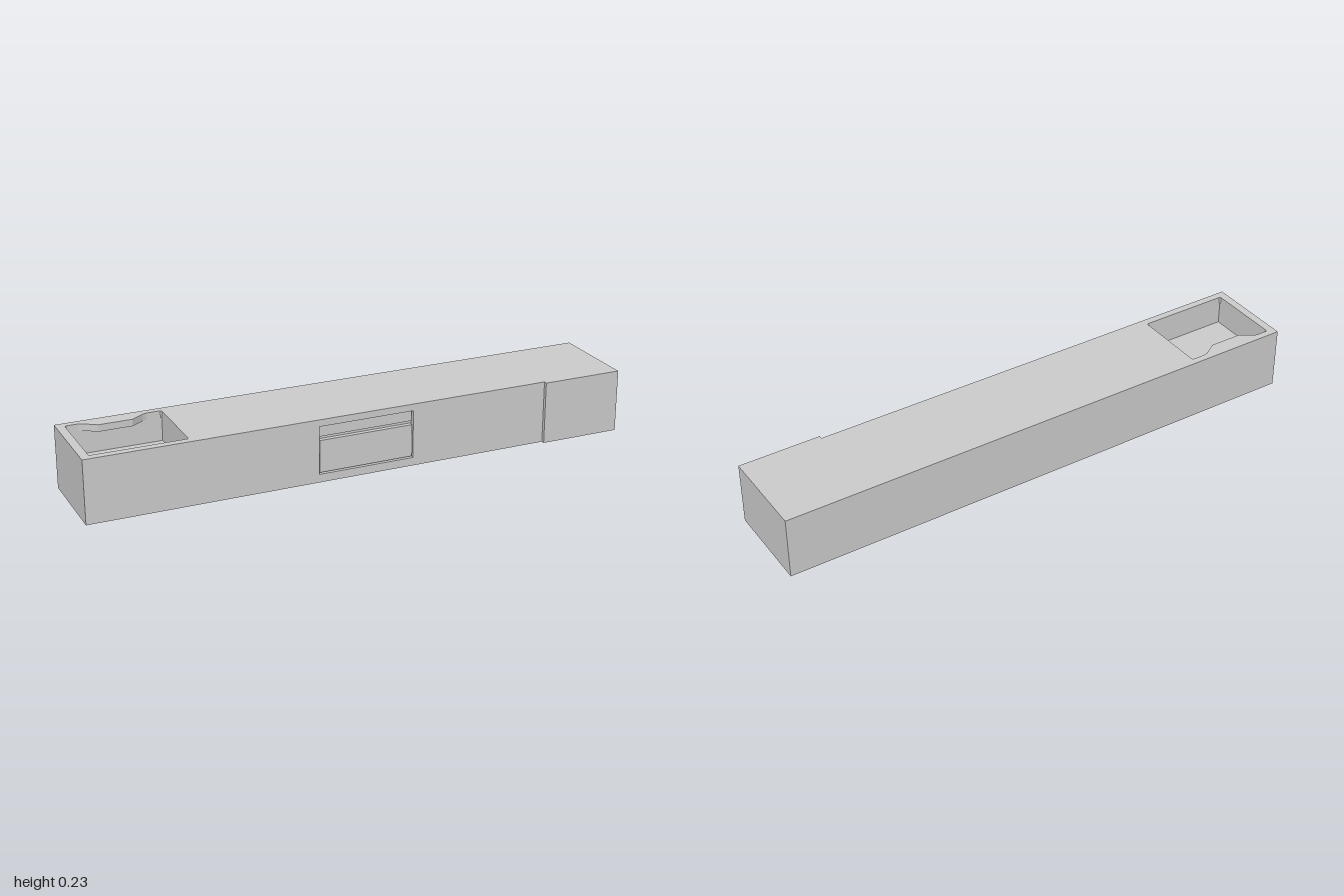
import * as THREE from 'three';

const material = new THREE.MeshStandardMaterial({ color: 0xcccccc, flatShading: true });

const BACK = -0.17, FRONT = 0.157, END_FRONT = 0.17, STEP_X = 0.7;
const RECESS = { x0: -0.175, x1: 0.18, depth: 0.02 };

// Plan coordinates are [x, z]; shapes are drawn with -z upwards.
const toPoints = (plan) => plan.map(([x, z]) => new THREE.Vector2(x, -z));

const basinPlan = [[-0.97, -0.145], [-0.63, -0.145], [-0.63, 0.13], [-0.97, 0.13]];
const rimPlan = [
  [-0.965, -0.145], [-0.925, -0.145], [-0.91, -0.14], [-0.865, -0.11],
  [-0.745, -0.11], [-0.7, -0.14], [-0.685, -0.145], [-0.635, -0.145],
  [-0.63, -0.14], [-0.63, 0.125], [-0.635, 0.13],
  [-0.965, 0.13], [-0.97, 0.125], [-0.97, -0.14],
];

// One horizontal slice of the counter, optionally with a sink hole and a drawer recess
function layer(name, y0, y1, { hole, recess } = {}) {
  const plan = [[-1, BACK], [-1, FRONT]];
  if (recess) {
    const inner = FRONT - RECESS.depth;
    plan.push([RECESS.x0, FRONT], [RECESS.x0, inner], [RECESS.x1, inner], [RECESS.x1, FRONT]);
  }
  plan.push([STEP_X, FRONT], [STEP_X, END_FRONT], [1, END_FRONT], [1, BACK]);
  const shape = new THREE.Shape(toPoints(plan));
  if (hole) shape.holes.push(new THREE.Path(toPoints(hole)));
  const geometry = new THREE.ExtrudeGeometry(shape, { depth: y1 - y0, bevelEnabled: false });
  geometry.rotateX(-Math.PI / 2);
  const mesh = new THREE.Mesh(geometry, material);
  mesh.position.y = y0;
  mesh.name = name;
  return mesh;
}

// Panel filling the recess, its face set back from the counter front
function panel(name, y0, y1, setBack) {
  const depth = RECESS.depth - setBack;
  const gap = 0.003;
  const mesh = new THREE.Mesh(
    new THREE.BoxGeometry(RECESS.x1 - RECESS.x0 - 2 * gap, y1 - y0, depth), material);
  mesh.position.set((RECESS.x0 + RECESS.x1) / 2, (y0 + y1) / 2, FRONT - setBack - depth / 2);
  mesh.name = name;
  return mesh;
}

export function createModel() {
  const group = new THREE.Group();
  group.name = 'sinkCounter';
  group.add(
    // Counter body, from the floor up
    layer('base', 0, 0.03),
    layer('lowerBody', 0.03, 0.12, { recess: true }),
    layer('basinWalls', 0.12, 0.205, { recess: true, hole: basinPlan }),
    // Worktop with a tap ledge reaching over the basin
    layer('worktop', 0.205, 0.23, { hole: rimPlan }),
    // Drawer front below a finger slot
    panel('upperPanel', 0.165, 0.205, 0.009),
    panel('drawerFront', 0.035, 0.153, 0.003),
  );
  return group;
}
